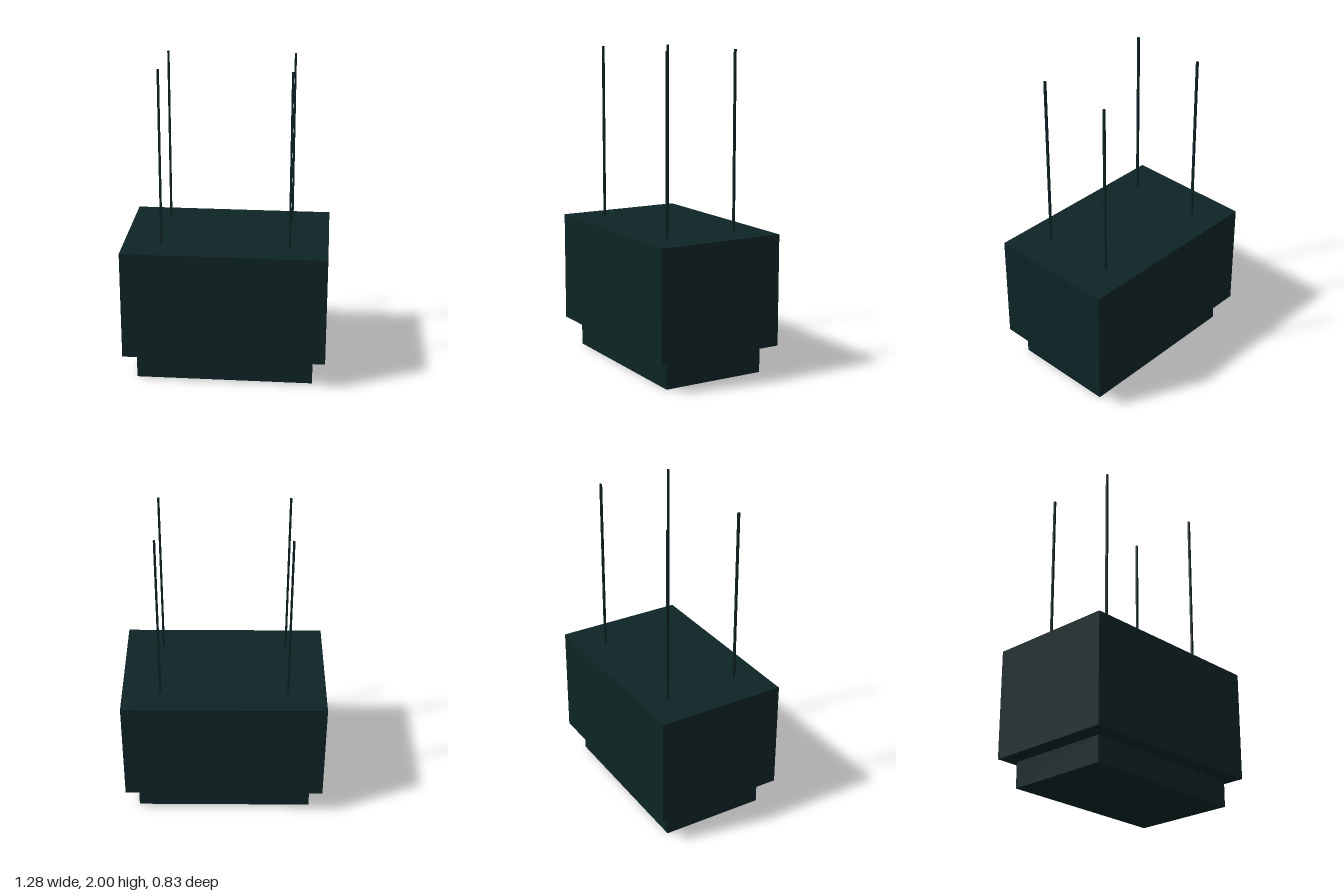
import * as THREE from 'three';

export function createModel() {
  const model = new THREE.Group();
  const darkTeal = new THREE.MeshStandardMaterial({ color: 0x0e2425 });
  darkTeal.name = 'darkTeal';

  // Box placed by its bottom height
  function box(name, width, height, depth, x, bottom, z) {
    const mesh = new THREE.Mesh(new THREE.BoxGeometry(width, height, depth), darkTeal);
    mesh.name = name;
    mesh.position.set(x, bottom + height / 2, z);
    model.add(mesh);
  }

  // Lower panel, separated from the housing by a narrow gap
  box('lowerPanel', 1.12, 0.163, 0.672, 0, 0, 0);

  // Main housing
  box('housing', 1.28, 0.703, 0.832, 0, 0.18, 0);

  // Four thin suspension rods
  for (const x of [-0.4, 0.4]) {
    for (const z of [-0.24, 0.24]) {
      const side = (z > 0 ? 'front' : 'back') + (x > 0 ? 'Left' : 'Right');
      box(side + 'Rod', 0.013, 1.117, 0.013, x, 0.883, z);
    }
  }

  return model;
}
